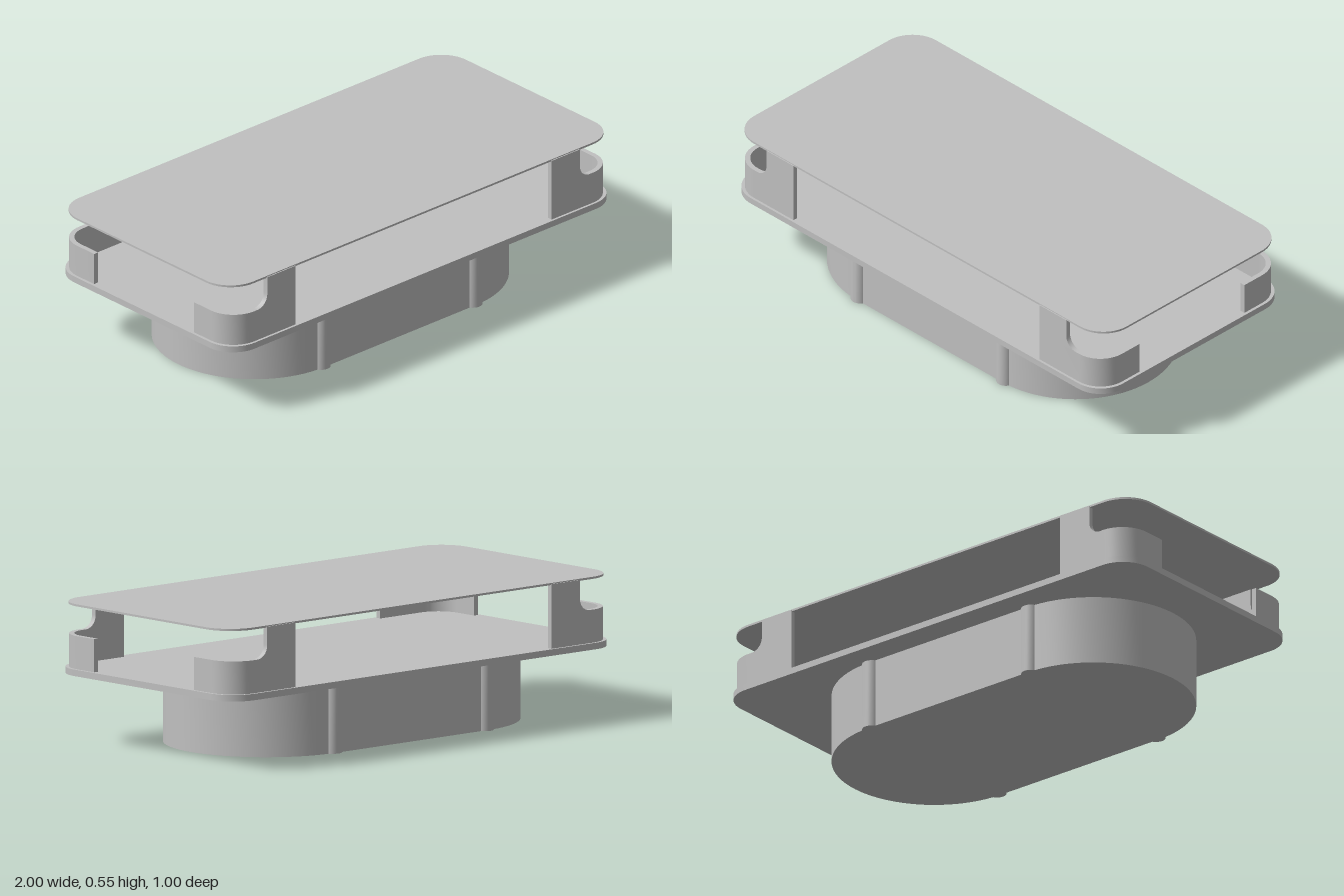
import * as THREE from 'three';
import { toCreasedNormals } from 'three/addons/utils/BufferGeometryUtils.js';

const HALF = Math.PI / 2;

// Points along an arc
function arc(cx, cy, r, a0, a1, n = 16) {
  return Array.from({ length: n + 1 }, (_, i) => {
    const a = a0 + ((a1 - a0) * i) / n;
    return new THREE.Vector2(cx + r * Math.cos(a), cy + r * Math.sin(a));
  });
}

const point = (x, y) => new THREE.Vector2(x, y);

// Outline of a rectangle with rounded corners
function roundedOutline(hx, hz, r) {
  const x = hx - r, z = hz - r;
  return [
    ...arc(x, z, r, 0, HALF), ...arc(-x, z, r, HALF, 2 * HALF),
    ...arc(-x, -z, r, 2 * HALF, 3 * HALF), ...arc(x, -z, r, 3 * HALF, 4 * HALF),
  ];
}

function extrude(points, depth) {
  return new THREE.ExtrudeGeometry(new THREE.Shape(points), { depth, bevelEnabled: false });
}

// Slab with its plan outline in x and z
function slab(points, y0, y1) {
  return extrude(points.map(p => point(p.x, -p.y)), y1 - y0).rotateX(-HALF).translate(0, y0, 0);
}

export function createModel() {
  const model = new THREE.Group();
  const grey = new THREE.MeshStandardMaterial({ color: 0xc0c0c0 });
  grey.name = 'grey';

  function add(name, geometry, parent = model) {
    const mesh = new THREE.Mesh(toCreasedNormals(geometry, 0.5), grey);
    mesh.name = name;
    parent.add(mesh);
  }

  // Oval base, slightly off centre, with round ribs where the ends begin
  const ends = [-0.42, 0.362], baseR = 0.39, plateY = 0.273, trayY = 0.298;
  add('ovalBase', slab([
    ...arc(ends[1], 0, baseR, -HALF, HALF, 40),
    ...arc(ends[0], 0, baseR, HALF, 3 * HALF, 40),
  ], 0, plateY));
  for (const x of ends) for (const s of [-1, 1]) {
    add('baseRib', new THREE.CylinderGeometry(0.037, 0.037, plateY, 24)
      .translate(x, plateY / 2, s * 0.372));
  }

  // Lower tray plate and thin top panel
  add('trayPlate', slab(roundedOutline(1, 0.5, 0.12), plateY, trayY));
  add('topPanel', slab(roundedOutline(1, 0.486, 0.125), 0.542, 0.55));

  // Corner brackets: a low wall round the corner and a tall post under the panel
  const X = 0.988, Z = 0.49, R = 0.115, T = 0.02, lowY = 0.425, topY = 0.546;
  const wall = [
    point(0.66, Z), ...arc(X - R, Z - R, R, HALF, 0), point(X, 0.28),
    point(X - T, 0.28), ...arc(X - R, Z - R, R - T, 0, HALF), point(0.66, Z - T),
  ];
  const post = [
    point(0.66, lowY), point(0.66, topY), point(0.805, topY),
    ...arc(0.855, lowY + 0.05, 0.05, Math.PI, 3 * HALF, 10),
  ];
  for (const sx of [-1, 1]) for (const sz of [-1, 1]) {
    const bracket = new THREE.Group();
    bracket.name = 'cornerBracket';
    add('cornerWall', slab(wall.map(p => point(sx * p.x, sz * p.y)), trayY, lowY), bracket);
    add('bracketPost', extrude(post.map(p => point(sx * p.x, p.y)), T)
      .translate(0, 0, sz > 0 ? Z - T : -Z), bracket);
    model.add(bracket);
  }
  return model;
}
